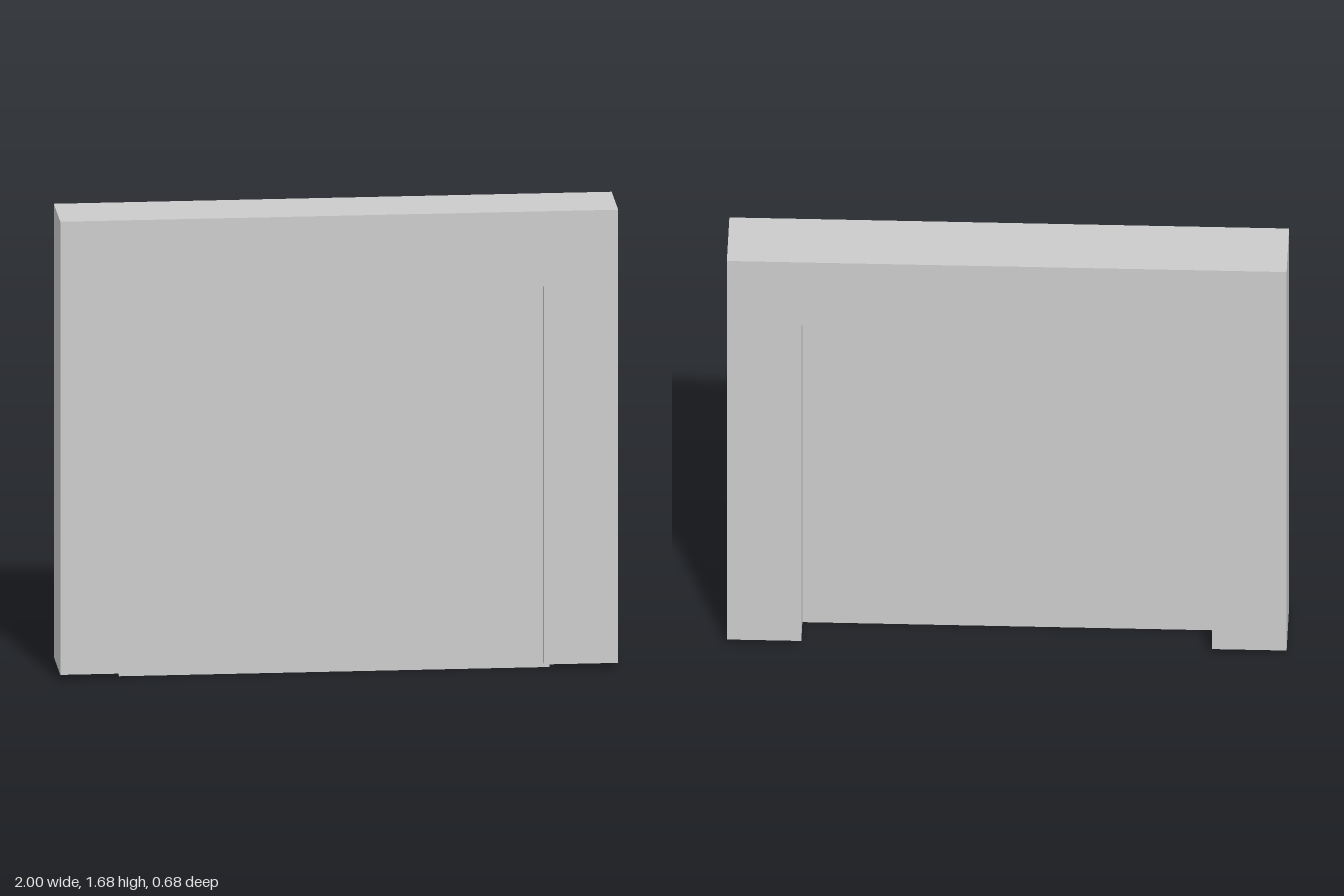
import * as THREE from 'three';

const WIDTH = 1.989, DEPTH = 0.264, BOTTOM = 0.021, TOP = 1.68;
const OPEN_HALF = 0.73, OPEN_TOP = 1.405;

export function createModel() {
  const group = new THREE.Group();
  const material = new THREE.MeshStandardMaterial({ color: 0xcccccc, flatShading: true });

  // Doorway surround: two posts and a lintel as one solid outline
  const h = WIDTH / 2;
  const outline = new THREE.Shape([
    [-h, BOTTOM], [-OPEN_HALF, BOTTOM], [-OPEN_HALF, OPEN_TOP], [OPEN_HALF, OPEN_TOP],
    [OPEN_HALF, BOTTOM], [h, BOTTOM], [h, TOP], [-h, TOP],
  ].map(([x, y]) => new THREE.Vector2(x, y)));
  const frameGeometry = new THREE.ExtrudeGeometry(outline, { depth: DEPTH, bevelEnabled: false });
  frameGeometry.translate(0, 0, -DEPTH / 2);
  const frame = new THREE.Mesh(frameGeometry, material);
  frame.name = 'doorFrame';

  // Door slab, let into the posts and lintel and reaching just below the frame
  const panelHeight = 1.44;
  const panel = new THREE.Mesh(new THREE.BoxGeometry(1.534, panelHeight, 0.076), material);
  panel.position.set(-0.014, panelHeight / 2, 0.049);
  panel.name = 'doorPanel';

  // The whole doorway stands slightly turned
  const doorway = new THREE.Group();
  doorway.name = 'doorway';
  doorway.add(frame, panel);
  doorway.rotation.y = -THREE.MathUtils.degToRad(12.1);
  group.add(doorway);
  return group;
}
